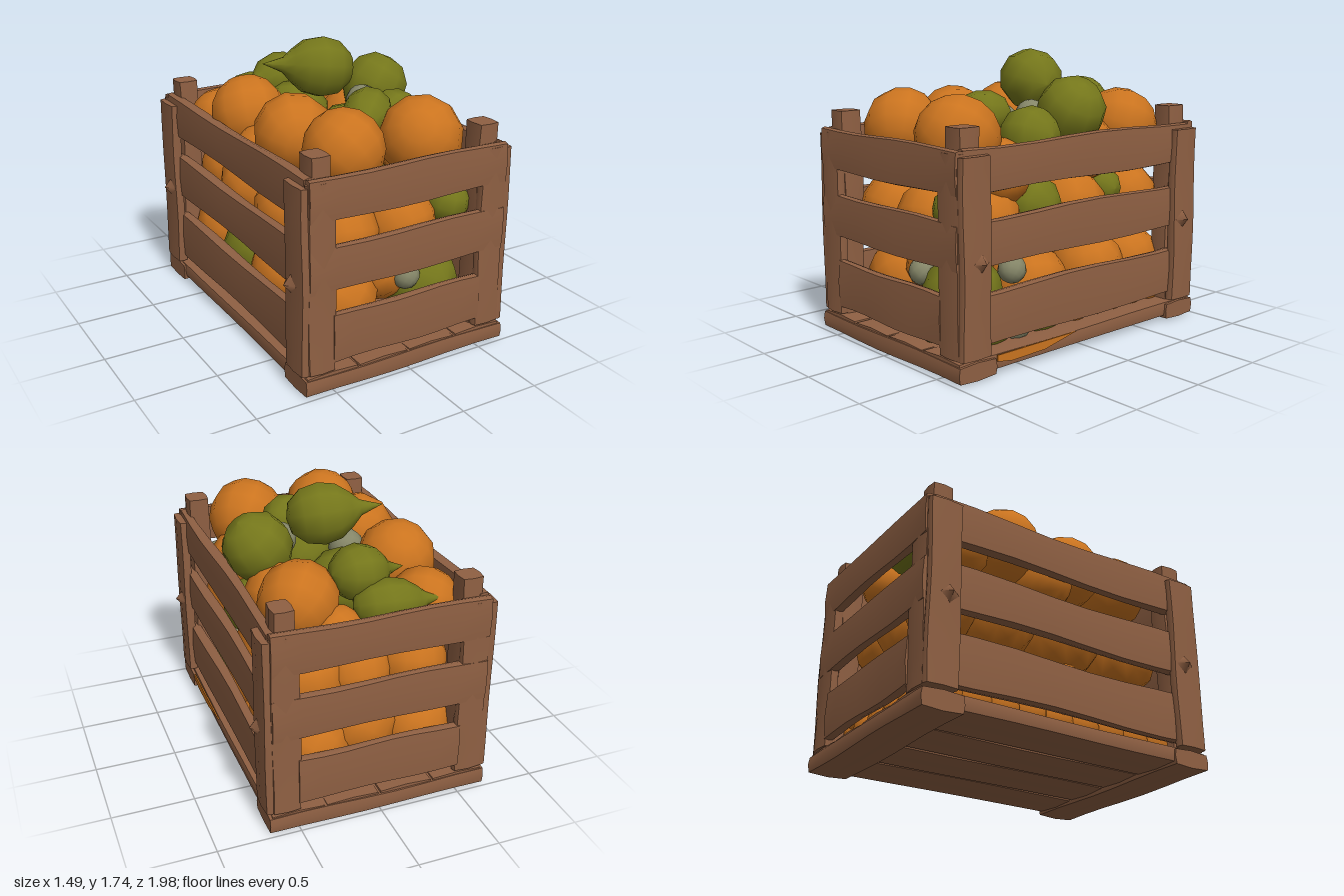
import * as THREE from 'three';
import { toCreasedNormals } from 'three/addons/utils/BufferGeometryUtils.js';

const material = (name, color) => {
  const m = new THREE.MeshStandardMaterial({ color });
  m.name = name;
  return m;
};

export function createModel() {
  const crate = new THREE.Group();
  crate.name = 'fruitCrate';
  const wood = material('brown wood', 0x8f6043);
  const orangeSkin = material('orange skin', 0xcb741f);
  const pearSkin = material('green skin', 0x75771b);
  const paleSkin = material('pale grey green skin', 0x858668);

  const add = (name, geometry, mat, parent = crate) => {
    const mesh = new THREE.Mesh(geometry, mat);
    mesh.name = name;
    parent.add(mesh);
    return mesh;
  };

  // Hand-cut board between two corners, with gently wavy edges
  let cut = 0;
  const board = (name, x0, x1, y0, y1, z0, z1, wave = 0.006) => {
    const size = [x1 - x0, y1 - y0, z1 - z0];
    const long = size.indexOf(Math.max(...size));
    const seg = size.map((s, i) => (i === long ? 7 : 2));
    const g = new THREE.BoxGeometry(...size, ...seg);
    const p = g.attributes.position;
    const phase = ++cut * 1.7;
    for (let i = 0; i < p.count; i++) {
      const v = [p.getX(i), p.getY(i), p.getZ(i)];
      const u = v.map((c, k) => (2 * c) / size[k]);
      // Pull the long corners in to soften them
      const others = [0, 1, 2].filter((k) => k !== long);
      const corner = others.every((k) => Math.abs(u[k]) > 0.9);
      for (const k of others) {
        if (corner) v[k] -= Math.sign(u[k]) * 0.008;
        v[k] += wave * Math.sin(u[long] * 4 + phase + k * 2 + u[k]) * Math.min(1, size[k] * 8);
      }
      p.setXYZ(i, ...v);
    }
    const mesh = add(name, toCreasedNormals(g, 0.9), wood);
    mesh.position.set((x0 + x1) / 2, (y0 + y1) / 2, (z0 + z1) / 2);
  };
  // A range mirrored to the side given by the sign
  const span = (s, a, b) => (s > 0 ? [a, b] : [-b, -a]);

  // Floor planks and end crossbars
  for (let i = 0; i < 4; i++) {
    const x = -0.67 + i * 0.3355;
    board('floorPlank', x, x + 0.334, 0.035, 0.132, -0.97, 0.97, 0.003);
  }
  for (const s of [-1, 1]) {
    board('floorCrossbar', -0.68, 0.68, 0.012, 0.122, ...span(s, 0.72, 0.985), 0.004);
  }

  // Horizontal slats on all four sides
  const rows = [[0.18, 0.48], [0.62, 0.89], [1.03, 1.285]];
  rows.forEach(([y0, y1], row) => {
    const half = row === 0 ? 0.5 : 0.65;
    for (const s of [-1, 1]) {
      board('endSlat', -half, half, y0, y1, ...span(s, 0.915, 0.98));
      board('sideSlat', ...span(s, 0.585, 0.66), y0, y1, -0.92, 0.92, 0.009);
    }
  });

  // Corner posts, cover boards and pointed splinters
  for (const sx of [-1, 1]) {
    for (const sz of [-1, 1]) {
      board('cornerPost', ...span(sx, 0.485, 0.62), 0.12, 1.39, ...span(sz, 0.78, 0.925));
      board('endCornerBoard', ...span(sx, 0.48, 0.66), 0.14, 1.26, ...span(sz, 0.91, 0.975), 0.004);
      board('sideCornerBoard', ...span(sx, 0.63, 0.7), 0.14, 1.245, ...span(sz, 0.76, 0.965), 0.004);
      const splinter = add('splinter', new THREE.ConeGeometry(0.06, 0.05, 4), wood);
      splinter.rotation.z = -sx * Math.PI / 2;
      splinter.position.set(sx * 0.718, 0.67, sz * 0.84);
    }
  }

  // Juice stain on the floor edge, tapering to both ends
  const outline = [[-0.71, 0.088], [-0.6, 0.07], [-0.35, 0.075], [-0.1, 0.125], [-0.71, 0.125]];
  const stainShape = new THREE.Shape(outline.map((p) => new THREE.Vector2(...p)));
  const stain = add('juiceStain', new THREE.ExtrudeGeometry(stainShape, { depth: 0.009, bevelEnabled: false }), orangeSkin);
  stain.rotation.y = Math.PI / 2;
  stain.position.x = 0.67;

  const oranges = new THREE.Group();
  oranges.name = 'oranges';
  const pears = new THREE.Group();
  pears.name = 'pears';
  const paleFruit = new THREE.Group();
  paleFruit.name = 'paleFruit';
  crate.add(oranges, pears, paleFruit);

  // Oranges and pale fruit: coarse, smooth balls
  const ball = (name, mat, parent, x, y, z, r = 0.24) => {
    const m = add(name, new THREE.SphereGeometry(r, 11, 8), mat, parent);
    m.position.set(x, y, z);
    m.rotation.set(x * 3, z * 5, y * 2);
  };
  const orange = (...place) => ball('orange', orangeSkin, oranges, ...place);

  // Pears: lathed round the core, which points from the belly to the stem end
  const pearProfile = [[0, -0.98], [0.5, -0.88], [0.88, -0.5], [1, 0], [0.88, 0.48],
    [0.56, 0.85], [0.26, 1.12], [0.12, 1.45], [0, 1.75]].map((p) => new THREE.Vector2(...p));
  const up = new THREE.Vector3(0, 1, 0);
  const pear = (x, y, z, r, dx, dy, dz, stretch = 1) => {
    const m = add('pear', new THREE.LatheGeometry(pearProfile, 10), pearSkin, pears);
    m.position.set(x, y, z);
    m.scale.set(r, r * stretch, r);
    m.quaternion.setFromUnitVectors(up, new THREE.Vector3(dx, dy, dz).normalize());
  };

  // Top layer
  [[-0.37, 1.28, -0.29], [-0.32, 1.28, 0.2], [-0.25, 1.3, 0.65, 0.235], [0.27, 1.285, 0.65, 0.25],
    [0.36, 1.27, -0.6, 0.235], [-0.39, 1.15, -0.64, 0.21], [0.36, 1.15, -0.26, 0.21],
    [0.38, 1.08, 0.45, 0.2], [-0.4, 1.1, -0.03, 0.19], [0.2, 1.12, -0.76, 0.16]].forEach((o) => orange(...o));
  pear(0.045, 1.56, -0.12, 0.192, -1, 0.12, -0.25, 1.1);
  pear(0.43, 1.395, -0.09, 0.21, -0.5, -0.7, 0);
  pear(0.01, 1.39, -0.61, 0.165, -1, -0.1, 0.15, 1.05);
  pear(-0.1, 1.25, -0.77, 0.15, -1, 0, -0.1, 1.35);
  pear(0, 1.2, -0.36, 0.22, -0.7, 0.1, -0.5);
  pear(0.38, 1.26, 0.2, 0.185, -1, -0.1, 0.1);
  pear(0.1, 1.37, 0.34, 0.15, -0.7, -0.2, 0.7, 1.25);
  pear(0.06, 1.2, 0.18, 0.2, -0.4, 0, 0.8);

  // Middle layer
  [[-0.29, 0.8, 0.66, 0.235], [0.1, 0.81, 0.68, 0.23], [0.35, 0.8, -0.15], [0.34, 0.8, -0.63],
    [-0.32, 0.8, 0.18], [-0.32, 0.8, -0.3], [-0.3, 0.81, -0.67, 0.22], [0.05, 0.8, -0.66, 0.22],
    [0.37, 0.81, 0.55, 0.22], [0, 0.88, 0.2, 0.26], [0, 0.88, 0.46, 0.22],
    [0, 0.62, 0, 0.22]].forEach((o) => orange(...o));
  pear(0.39, 0.9, 0.76, 0.14, -0.2, -1, -0.2);
  pear(0.38, 0.86, 0.2, 0.19, -1, 0.1, 0.2);
  pear(0, 0.9, -0.25, 0.25, 0, 0.3, -1);
  pear(0.42, 0.9, -0.38, 0.12, -1, 0, 0);

  // Bottom layer
  [[-0.27, 0.385, 0.62], [0.34, 0.37, 0.18, 0.245], [0.34, 0.38, -0.33, 0.245], [0.33, 0.38, -0.68],
    [-0.33, 0.38, 0.14], [-0.33, 0.38, -0.68], [0.02, 0.45, -0.64, 0.25], [0, 0.48, 0.3, 0.27],
    [0, 0.5, -0.15, 0.25], [0.02, 0.5, 0.6, 0.2]].forEach((o) => orange(...o));
  pear(0.29, 0.38, 0.64, 0.24, -0.3, -0.1, -1);
  pear(-0.34, 0.37, -0.28, 0.22, 1, 0.2, 0);

  // Small fruit resting on the floor against the slats
  for (let i = 0; i < 5; i++) orange(0.44, 0.2, -0.06 - i * 0.17, 0.13);
  for (let i = 0; i < 9; i++) orange(-0.44, 0.2, 0.74 - i * 0.185, 0.13);
  for (let i = 0; i < 4; i++) orange(0.26 - i * 0.18, 0.2, -0.76, 0.13);
  pear(-0.2, 0.21, 0.77, 0.12, -1, 0, 0, 1.4);
  pear(0.25, 0.21, 0.77, 0.13, 1, 0, 0, 1.3);
  pear(0.45, 0.21, 0.6, 0.13, 0, 0, 1, 1.3);
  pear(0.45, 0.21, 0.2, 0.13, 0, 0, 1, 1.3);

  // Pale fruit showing in the gaps between the others
  [[0.01, 0.2, 0.77, 0.12], [0.46, 0.2, 0.41, 0.12], [0.47, 0.52, 0.42, 0.085], [0.1, 0.5, 0.78, 0.085],
    [-0.15, 1.29, -0.04, 0.11], [0.24, 1.36, 0.06, 0.1], [0.45, 1.0, 0.76, 0.09]]
    .forEach((p) => ball('paleFruit', paleSkin, paleFruit, ...p));

  return crate;
}
